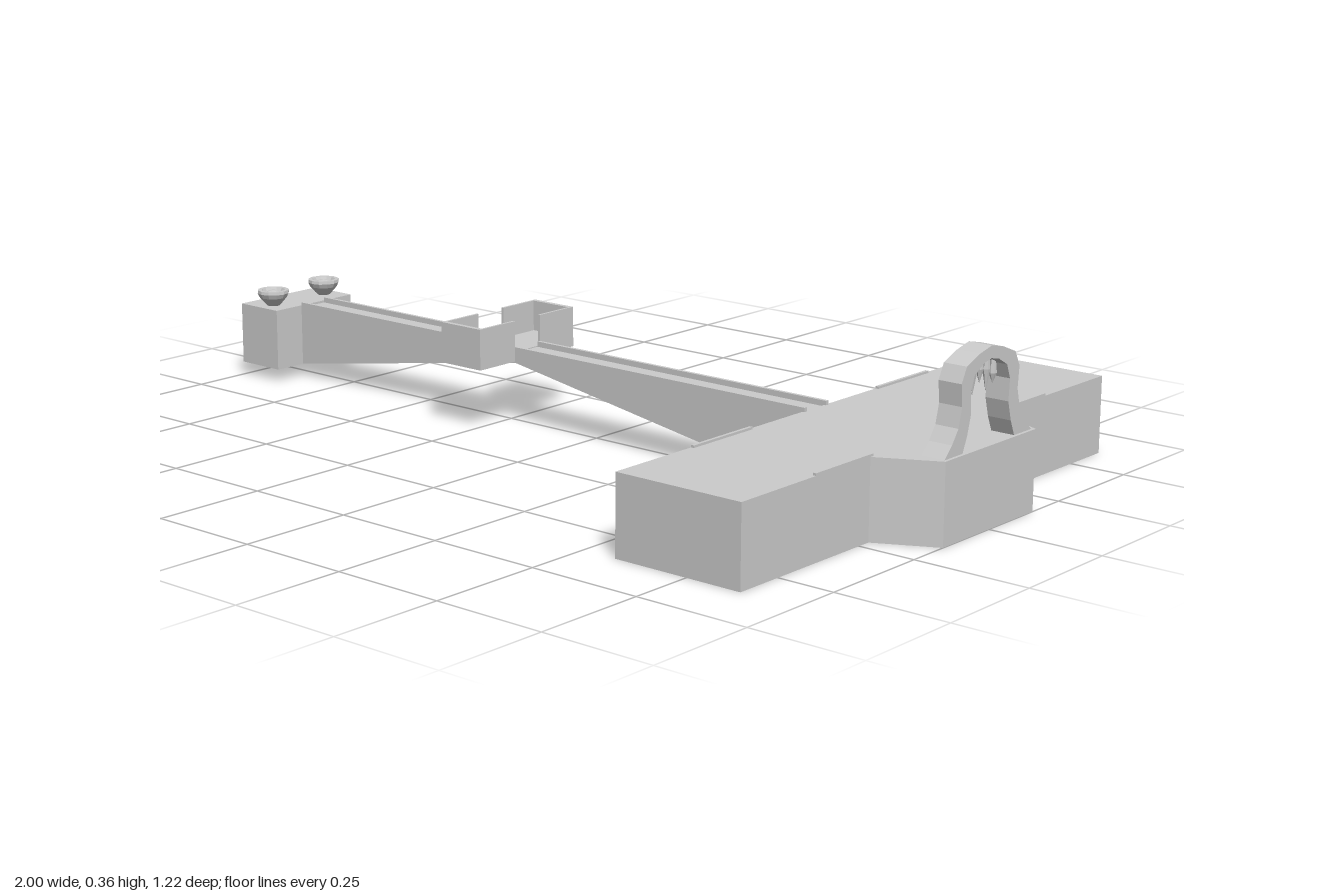
import * as THREE from 'three';

const material = new THREE.MeshStandardMaterial({ color: 0xcccccc, flatShading: true, side: THREE.DoubleSide });

function add(parent, name, geometry) {
  const mesh = new THREE.Mesh(geometry, material);
  mesh.name = name;
  parent.add(mesh);
  return mesh;
}

// Box given by its limits on each axis
function block(parent, name, x0, x1, y0, y1, z0, z1) {
  const mesh = add(parent, name, new THREE.BoxGeometry(x1 - x0, y1 - y0, z1 - z0));
  mesh.position.set((x0 + x1) / 2, (y0 + y1) / 2, (z0 + z1) / 2);
  return mesh;
}

function extrude(points, depth) {
  const shape = new THREE.Shape(points.map(([x, y]) => new THREE.Vector2(x, y)));
  return new THREE.ExtrudeGeometry(shape, { depth, bevelEnabled: false });
}

// Closed outline from one half, mirrored across the second or first axis
const mirrored = (half, fx, fy) => [...half, ...half.slice().reverse().map(([x, y]) => [x * fx, y * fy])];

export function createModel() {
  const model = new THREE.Group();
  model.name = 'walkwayWithPlatform';

  // Wide platform with a tapered bay
  const outline = mirrored([[0.58, -0.61], [0.875, -0.61], [0.875, -0.22], [1, -0.155]], 1, -1);
  add(model, 'platform', extrude(outline, 0.168).rotateX(-Math.PI / 2));

  // Low curbs along both long platform edges
  for (const s of [-1, 1]) {
    const z0 = s < 0 ? -0.39 : 0.21;
    block(model, 'platformCurb', 0.58, 0.587, 0.16, 0.173, z0, z0 + 0.18);
    block(model, 'platformCurb', 0.868, 0.875, 0.16, 0.173, z0, z0 + 0.18);
  }

  // Walkway, thin in the middle and deep at both ends
  const beam = [[-0.88, 0.03], [-0.2, 0.142], [0.48, 0.03], [0.585, 0.03], [0.585, 0.165], [-0.88, 0.165]];
  add(model, 'walkway', extrude(beam, 0.08).translate(0, 0, -0.04));
  for (const s of [-1, 1]) {
    for (const [x0, x1] of [[-0.88, -0.315], [-0.2, 0.585]]) {
      const z = s * 0.036;
      block(model, 'walkwayCurb', x0, x1, 0.16, 0.177, z - 0.004, z + 0.004);
    }
  }

  // Middle landing with a walled alcove on each side
  block(model, 'landingFloor', -0.315, -0.2, 0.145, 0.167, -0.15, 0.15);
  for (const s of [-1, 1]) {
    const alcove = new THREE.Group();
    alcove.name = 'alcove';
    block(alcove, 'outerWall', -0.315, -0.2, 0.15, 0.235, s * 0.1445 - 0.0055, s * 0.1445 + 0.0055);
    for (const x of [-0.315, -0.206]) {
      block(alcove, 'sideWall', x, x + 0.006, 0.15, 0.235, s * 0.095 - 0.055, s * 0.095 + 0.055);
    }
    model.add(alcove);
  }

  // Hollow end room, open at its far end
  const room = new THREE.Group();
  room.name = 'endRoom';
  const t = 0.004;
  block(room, 'roof', -1, -0.88, 0.17 - t, 0.17, -0.118, 0.118);
  block(room, 'floor', -1, -0.88, 0.03, 0.03 + t, -0.118, 0.118);
  block(room, 'innerWall', -0.88 - t, -0.88, 0.03, 0.17, -0.118, 0.118);
  for (const s of [-1, 1]) {
    block(room, 'sideWall', -1, -0.88, 0.03, 0.17, s * 0.116 - 0.002, s * 0.116 + 0.002);
  }
  model.add(room);

  // Two braziers on the room's roof
  const bowl = [[0, 0], [0.014, 0], [0.02, 0.006], [0.032, 0.02], [0.037, 0.03], [0.036, 0.037],
    [0.027, 0.037], [0.022, 0.028], [0.012, 0.034], [0, 0.036]].map(([r, y]) => new THREE.Vector2(r, y));
  for (const s of [-1, 1]) {
    add(model, 'brazier', new THREE.LatheGeometry(bowl, 12)).position.set(-0.932, 0.17, s * 0.08);
  }

  // Jaw-shaped arch with splayed feet
  const outer = mirrored([[0.152, 0.165], [0.125, 0.192], [0.105, 0.22], [0.095, 0.26], [0.099, 0.305],
    [0.083, 0.336], [0.04, 0.353], [0, 0.362]], -1, 1);
  const inner = mirrored([[-0.09, 0.165], [-0.075, 0.2], [-0.064, 0.24], [-0.067, 0.285],
    [-0.055, 0.315], [-0.025, 0.332], [0, 0.337]], -1, 1);
  add(model, 'arch', extrude([...outer, ...inner], 0.052).rotateY(Math.PI / 2).translate(0.941, 0, 0));

  // Teeth hanging inside the arch
  for (let i = -2; i <= 2; i++) {
    const top = 0.342 - 0.004 * i * i;
    const tip = [0.283, 0.263, 0.275][Math.abs(i)];
    const profile = [[0, tip], [0.008, top - 0.03], [0.005, top]].map(([r, y]) => new THREE.Vector2(r, y));
    add(model, 'tooth', new THREE.LatheGeometry(profile, 6)).position.set(0.967, 0, i * 0.023);
  }

  return model;
}
